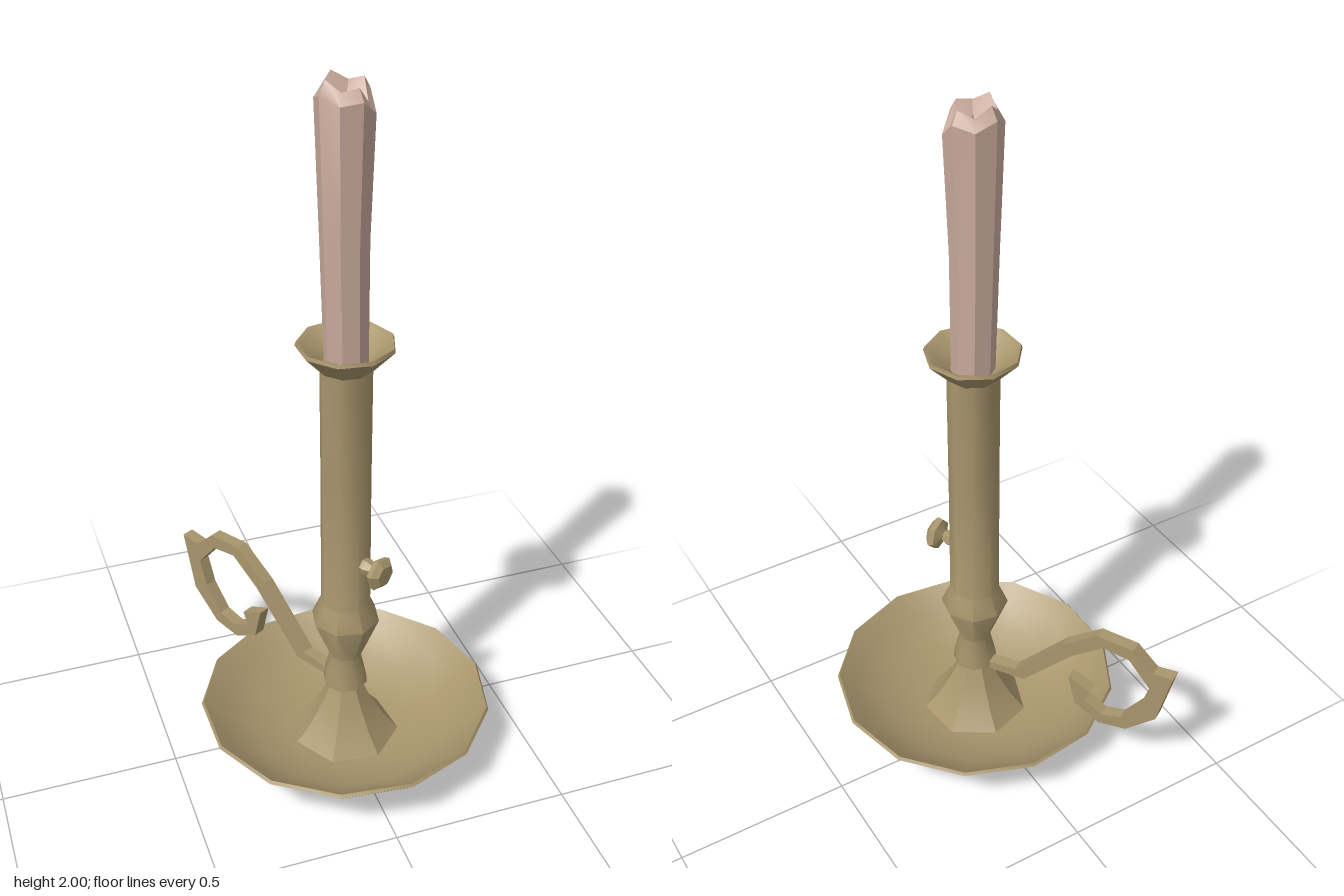
import * as THREE from 'three';
import { toCreasedNormals } from 'three/addons/utils/BufferGeometryUtils.js';

const AXIS_Z = 0.07; // the dish and stem stand a little forward of the origin
const HANDLE_ANGLE = Math.PI / 6;

export function createModel() {
  const brass = new THREE.MeshStandardMaterial({ color: 0xa8956c });
  brass.name = 'agedBrass';
  const wax = new THREE.MeshStandardMaterial({ color: 0xc9aa9c });
  wax.name = 'pinkWax';

  const model = new THREE.Group();
  model.name = 'candlestick';
  model.position.z = AXIS_Z;
  const root = new THREE.Group();
  root.name = 'chamberstick';
  root.add(model);

  const add = (name, geometry, material) => {
    const mesh = new THREE.Mesh(geometry, material);
    mesh.name = name;
    model.add(mesh);
    return mesh;
  };
  const lathe = (points, sides, phase = 0) =>
    new THREE.LatheGeometry(points.map(([r, y]) => new THREE.Vector2(r, y)), sides, phase);

  // Shallow dish: underside out to the rim, then back along the inside
  add('dish', toCreasedNormals(lathe([
    [0, 0], [0.17, 0.008], [0.295, 0.05], [0.375, 0.115], [0.418, 0.158], [0.412, 0.166],
    [0.36, 0.122], [0.28, 0.068], [0.17, 0.036], [0, 0.03],
  ], 13, 3.02), 0.75), brass);

  // Faceted foot rising from the dish
  add('foot', toCreasedNormals(lathe([
    [0.157, 0.032], [0.11, 0.09], [0.073, 0.155], [0.046, 0.215],
  ], 7, 0.33), 0.6), brass);

  // Collar, bulb and long tube
  add('stem', toCreasedNormals(lathe([
    [0, 0.2], [0.046, 0.208], [0.064, 0.222], [0.062, 0.25], [0.046, 0.32], [0.097, 0.45],
    [0.071, 0.51], [0.07, 0.9], [0.071, 1.25],
  ], 8, 0.2), 0.8), brass);

  // Flared drip cup
  add('dripCup', toCreasedNormals(lathe([
    [0.065, 1.24], [0.075, 1.248], [0.131, 1.308], [0.128, 1.318], [0.115, 1.312], [0.062, 1.262],
    [0, 1.262],
  ], 9, 0.2), 0.75), brass);

  // Small thumb knob, opposite the handle
  const knob = lathe([
    [0.022, 0.055], [0.024, 0.082], [0.016, 0.098], [0.045, 0.112], [0.049, 0.127], [0.03, 0.142],
    [0, 0.142],
  ], 6, 0.3);
  knob.rotateX(Math.PI / 2).rotateY(HANDLE_ANGLE).translate(0, 0.655, 0);
  add('thumbKnob', toCreasedNormals(knob, 0.5), brass);

  // Curled strap handle: outline of outer edge, then inner edge (z, y)
  const outline = [
    [0.02, 0.24], [-0.055, 0.25], [-0.19, 0.425], [-0.28, 0.505], [-0.375, 0.5], [-0.43, 0.44],
    [-0.482, 0.447], [-0.447, 0.27], [-0.37, 0.183], [-0.297, 0.167], [-0.228, 0.21], [-0.207, 0.305],
    [-0.268, 0.275], [-0.255, 0.235], [-0.303, 0.205], [-0.355, 0.222], [-0.403, 0.3], [-0.424, 0.38],
    [-0.366, 0.458], [-0.297, 0.468], [-0.217, 0.395], [-0.08, 0.222], [0.02, 0.215],
  ].map(([z, y]) => new THREE.Vector2((AXIS_Z - z) / Math.cos(HANDLE_ANGLE), y));
  const strap = new THREE.ExtrudeGeometry(new THREE.Shape(outline), { depth: 0.036, bevelEnabled: false });
  strap.translate(0, 0, -0.018).rotateY(Math.PI / 2 + HANDLE_ANGLE);
  add('handle', strap, brass);

  // Candle with an uneven melted rim and a hollow top
  const candle = lathe([
    [0.058, 1.255], [0.063, 1.6], [0.074, 1.955], [0.056, 1.985], [0, 1.925],
  ], 8, 0.3);
  const rimLift = [0.0, -0.05, 0.005, -0.01, 0.015, -0.012, 0.015, -0.008];
  const p = candle.attributes.position;
  for (let i = 0; i < p.count; i++) {
    const row = i % 5, side = Math.floor(i / 5) % 8;
    if (row === 2) p.setY(i, p.getY(i) + rimLift[side] * 0.8);
    if (row === 3) p.setY(i, p.getY(i) + rimLift[side]);
    if (row > 0) p.setX(i, p.getX(i) - 0.005);
  }
  add('candle', toCreasedNormals(candle, 0.5), wax);

  // Wick stub in the hollow
  const wick = new THREE.CylinderGeometry(0.003, 0.004, 0.04, 5);
  add('wick', wick.translate(-0.005, 1.94, 0.005), wax);

  return root;
}
